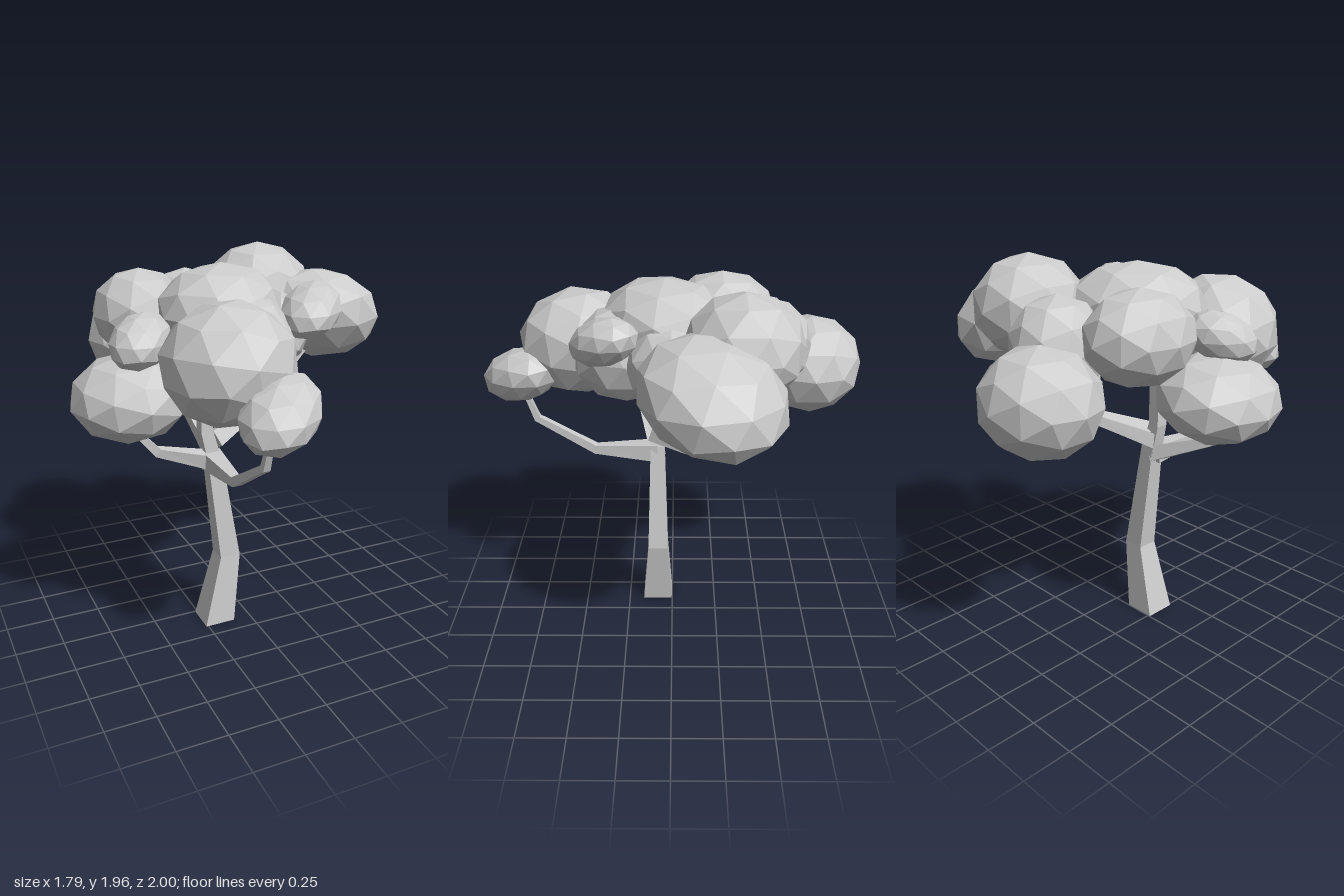
import * as THREE from 'three';

const material = new THREE.MeshStandardMaterial({ color: 0xcccccc, flatShading: true });
const UP = new THREE.Vector3(0, 1, 0);

// Four-sided tapering limb; each node is [x, y, z, half width]
function limb(name, nodes, level = false) {
  const pts = nodes.map((n) => new THREE.Vector3(n[0], n[1], n[2]));
  const pos = [];
  const index = [];
  nodes.forEach((n, i) => {
    const dir = new THREE.Vector3();
    if (i > 0) dir.add(pts[i].clone().sub(pts[i - 1]).normalize());
    if (i < pts.length - 1) dir.add(pts[i + 1].clone().sub(pts[i]).normalize());
    if (level) dir.copy(UP);
    const q = new THREE.Quaternion().setFromUnitVectors(UP, dir.normalize());
    for (const [sx, sz] of [[-1, 1], [1, 1], [1, -1], [-1, -1]]) {
      const corner = new THREE.Vector3(sx * n[3], 0, sz * n[3]).applyQuaternion(q).add(pts[i]);
      pos.push(corner.x, corner.y, corner.z);
    }
    if (i === 0) return;
    for (let k = 0; k < 4; k++) {
      const a = (i - 1) * 4 + k, b = (i - 1) * 4 + (k + 1) % 4;
      index.push(a, b, b + 4, a, b + 4, a + 4);
    }
  });
  const t = (nodes.length - 1) * 4;
  index.push(0, 2, 1, 0, 3, 2, t, t + 1, t + 2, t, t + 2, t + 3);
  const geo = new THREE.BufferGeometry();
  geo.setAttribute('position', new THREE.Float32BufferAttribute(pos, 3));
  geo.setIndex(index);
  const flat = geo.toNonIndexed();
  flat.computeVertexNormals();
  const mesh = new THREE.Mesh(flat, material);
  mesh.name = name;
  return mesh;
}

// Faceted leaf clump, tilted about its z axis and then turned about y
function clump(name, center, radii, yaw = 0, tilt = 0) {
  const mesh = new THREE.Mesh(new THREE.IcosahedronGeometry(1, 1), material);
  mesh.position.set(...center);
  mesh.scale.set(...radii);
  mesh.rotation.set(0, yaw, tilt, 'YZX');
  mesh.name = name;
  return mesh;
}

export function createModel() {
  const tree = new THREE.Group();
  tree.name = 'tree';
  const diagonal = Math.PI / 4;

  // Trunk and branches
  tree.add(
    limb('trunk', [[-0.18, 0, 0.085, 0.082], [-0.105, 0.38, 0.08, 0.055], [-0.185, 0.98, 0.08, 0.038]], true),
    limb('frontBranch', [[-0.19, 0.938, 0.08, 0.05], [-0.2, 0.945, 0.42, 0.024], [-0.2, 1.13, 0.73, 0.018], [-0.2, 1.3, 0.79, 0.013]]),
    limb('leftBranch', [[-0.19, 0.93, 0.08, 0.04], [-0.51, 1.06, 0.17, 0.022], [-0.63, 1.2, 0.18, 0.015]]),
    limb('rightBranch', [[-0.18, 1.035, 0.08, 0.045], [0.14, 1.11, -0.1, 0.028], [0.44, 1.44, -0.1, 0.022]]),
    limb('backBranch', [[-0.19, 1.0, 0.08, 0.038], [-0.22, 1.225, -0.34, 0.022], [-0.27, 1.25, -0.65, 0.015]]),
    limb('backTwig', [[-0.22, 1.22, -0.34, 0.016], [-0.22, 1.45, -0.34, 0.013]]),
    limb('uprightBranch', [[-0.185, 0.95, 0.08, 0.037], [-0.22, 1.1, 0.08, 0.032], [-0.215, 1.42, 0.08, 0.027]]),
  );

  // Crown: name, centre, radii, yaw, tilt
  const crown = [
    ['backClump', [-0.285, 1.42, -0.727], [0.3, 0.255, 0.278]],
    ['rightClump', [0.56, 1.583, -0.182], [0.36, 0.24, 0.338], diagonal, -0.33],
    ['backRightClump', [0.267, 1.7, -0.335], [0.293, 0.262, 0.29]],
    ['topClump', [-0.108, 1.695, 0.035], [0.36, 0.23, 0.31], diagonal],
    ['backLeftClump', [-0.425, 1.65, -0.265], [0.243, 0.227, 0.288]],
    ['backMiddleClump', [-0.1, 1.585, -0.47], [0.235, 0.245, 0.237]],
    ['leftClump', [-0.602, 1.332, 0.09], [0.298, 0.21, 0.316], 0, 0.13],
    ['frontClump', [-0.268, 1.55, 0.487], [0.314, 0.28, 0.32], 0.6, 0.25],
    ['innerFrontClump', [-0.055, 1.56, 0.228], [0.222, 0.252, 0.292]],
    ['innerRightClump', [0.122, 1.555, 0.0], [0.26, 0.225, 0.228]],
    ['lowFrontClump', [-0.162, 1.398, 0.79], [0.247, 0.141, 0.18], diagonal, 0.36],
    ['smallRightClump', [0.238, 1.718, 0.318], [0.2, 0.115, 0.146], diagonal, 0.37],
    ['smallLeftClump', [-0.56, 1.605, 0.147], [0.182, 0.12, 0.143], diagonal, 0.37],
  ];
  for (const part of crown) tree.add(clump(...part));
  return tree;
}
